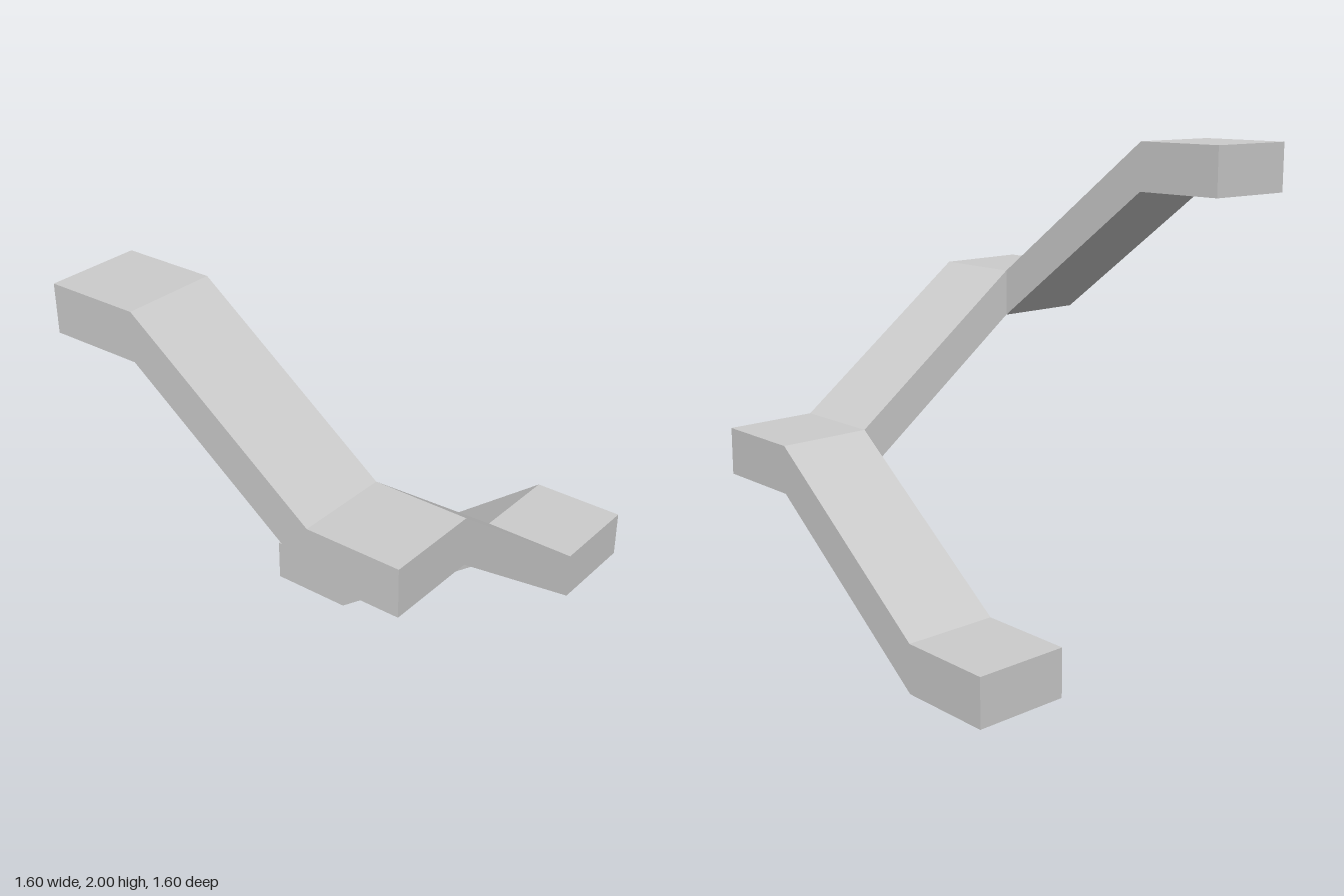
import * as THREE from 'three';

const THICKNESS = 0.2;
const WIDTH = 0.4;

// Extrudes a slab of constant vertical thickness from the line of its underside.
function slab(name, underside, material) {
  const bottom = underside.map(([u, y]) => new THREE.Vector2(u, y));
  const top = underside.map(([u, y]) => new THREE.Vector2(u, y + THICKNESS)).reverse();
  const geometry = new THREE.ExtrudeGeometry(new THREE.Shape([...bottom, ...top]), {
    depth: WIDTH,
    bevelEnabled: false,
  });
  const mesh = new THREE.Mesh(geometry, material);
  mesh.name = name;
  return mesh;
}

export function createModel() {
  const model = new THREE.Group();
  model.name = 'rampWalkway';
  const grey = new THREE.MeshStandardMaterial({ color: 0xcccccc });
  grey.name = 'light grey';

  // Front flight: high landing, ramp falling to the left, corner landing
  const upperFlight = slab('upperFlight', [[-0.8, 1.8], [-0.4, 1.8], [0.4, 1.2], [0.8, 1.2]], grey);
  upperFlight.position.z = 0.4;

  // Back flight: ground landing, ramp rising to the left, corner landing
  const lowerFlight = slab('lowerFlight', [[-0.8, 0], [-0.4, 0], [0.4, 0.6], [0.8, 0.6]], grey);
  lowerFlight.position.z = -0.8;

  // Side ramp joining the two corner landings, its profile turned to run along z
  const sideRamp = slab('sideRamp', [[-0.4, 0.6], [0.4, 1.2]], grey);
  sideRamp.geometry.rotateY(-Math.PI / 2);
  sideRamp.position.x = 0.8;

  model.add(upperFlight, lowerFlight, sideRamp);
  return model;
}
